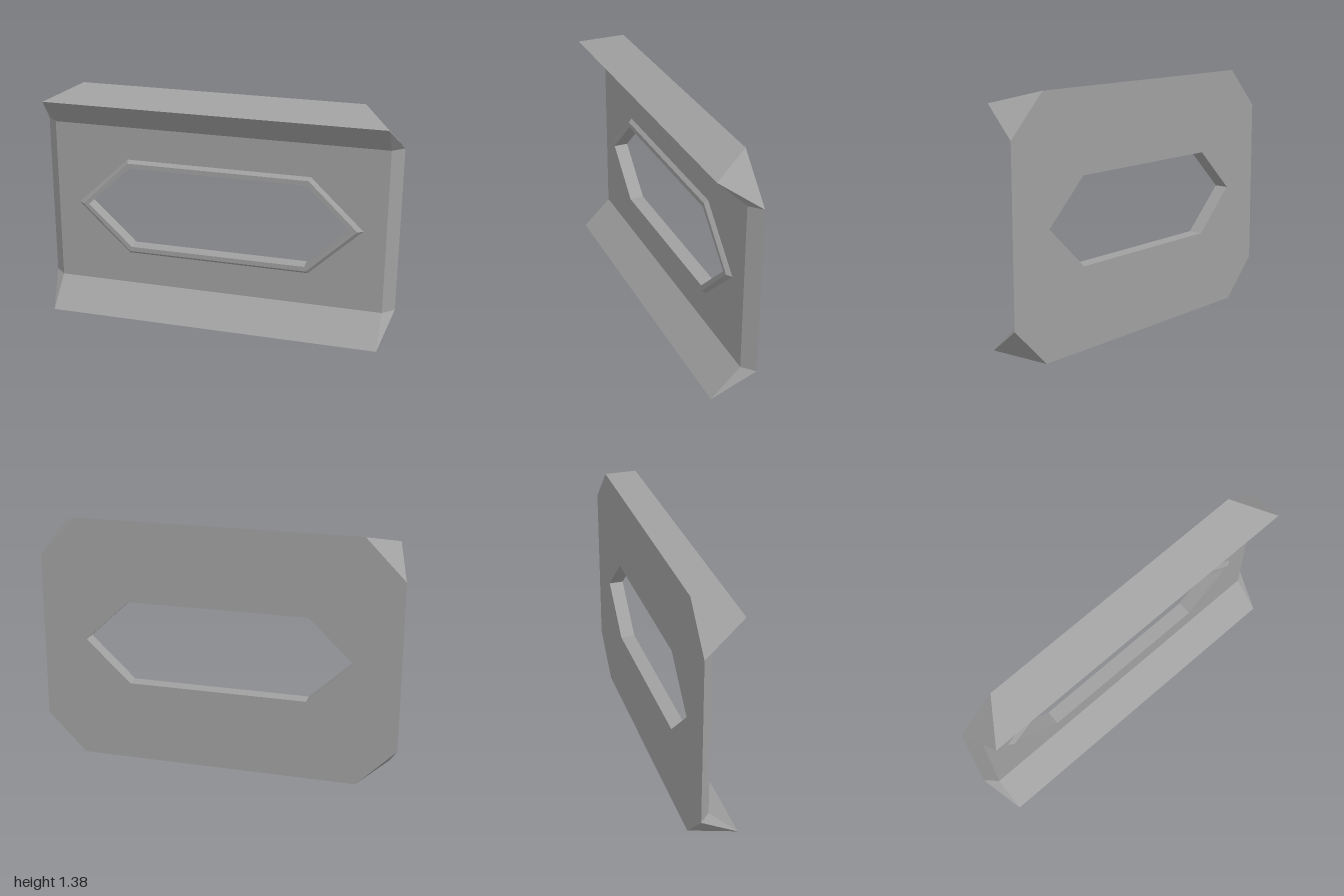
import * as THREE from 'three';

const MID = 0.6875; // height of the horizontal mirror plane
const BACK = -0.11, FACE = -0.05, RIM = -0.03;

const material = new THREE.MeshStandardMaterial({
  color: 0xa0a0a0, flatShading: true, side: THREE.DoubleSide,
});

function addMesh(group, name, geometry) {
  const mesh = new THREE.Mesh(geometry, material);
  mesh.name = name;
  group.add(mesh);
}

// Builds flat polygons (corners counter-clockwise) as triangle fans
function polygons(faces) {
  const pos = [];
  for (const f of faces) {
    for (let i = 1; i < f.length - 1; i++) pos.push(...f[0], ...f[i], ...f[i + 1]);
  }
  const g = new THREE.BufferGeometry();
  g.setAttribute('position', new THREE.Float32BufferAttribute(pos, 3));
  g.computeVertexNormals();
  return g;
}

// Mirrors a polygon by signs in x and y, keeping it facing outward
function mirrored(face, sx, sy) {
  const f = face.map(([x, y, z]) => [x * sx, MID + y * sy, z]);
  return sx * sy < 0 ? f.reverse() : f;
}

// Long hexagon: tip at x, shoulders at (sx, sy)
const hexagon = (x, sx, sy) => [
  [x, 0], [sx, sy], [-sx, sy], [-x, 0], [-sx, -sy], [sx, -sy],
].map(([a, b]) => [a, b + MID]);

// Flat plate with a hexagonal opening
function plate(outline, hole) {
  const v = (p) => new THREE.Vector2(p[0], p[1]);
  const shape = new THREE.Shape(outline.map(v));
  shape.holes.push(new THREE.Path(hole.map(v)));
  return new THREE.ShapeGeometry(shape);
}

export function createModel() {
  const group = new THREE.Group();
  group.name = 'windowPanel';

  // Upper left corner points, y measured from the mirror plane
  const A = [1, 0.4675, BACK];       // back edge of the side
  const B = [0.937, 0.4675, FACE];   // corner of the front face
  const L = [0.937, 0.624, 0.11];    // tip of the flange lip
  const T = [0.783, 0.6875, BACK];   // back edge of the flange
  const flipX = ([x, y, z]) => [-x, y, z];
  const flipY = ([x, y, z]) => [x, -y, z];

  const opening = hexagon(0.75, 0.5, 0.237);
  const crest = hexagon(0.783, 0.51, 0.264);
  const base = hexagon(0.813, 0.518, 0.281);

  // Front and back plates
  const front = [B, flipX(B), flipX(flipY(B)), flipY(B)].map(([x, y]) => [x, y + MID]);
  addMesh(group, 'frontPlate', plate(front, base).translate(0, 0, FACE));
  const octagon = [A, T, flipX(T), flipX(A), flipX(flipY(A)), flipX(flipY(T)), flipY(T), flipY(A)]
    .map(([x, y]) => [x, y + MID]);
  addMesh(group, 'backPlate', plate(octagon, opening).rotateY(Math.PI).translate(0, 0, BACK));

  // Bevelled sides
  for (const sx of [1, -1]) {
    addMesh(group, sx > 0 ? 'leftSide' : 'rightSide',
      polygons([mirrored([flipY(A), A, B, flipY(B)], sx, 1)]));
  }

  // Projecting flanges along the top and bottom, closed at both ends
  for (const sy of [1, -1]) {
    const faces = [
      mirrored([flipX(B), B, L, flipX(L)], 1, sy),
      mirrored([flipX(L), L, T, flipX(T)], 1, sy),
    ];
    for (const sx of [1, -1]) {
      faces.push(mirrored([A, L, B], sx, sy), mirrored([A, T, L], sx, sy));
    }
    addMesh(group, sy > 0 ? 'topFlange' : 'bottomFlange', polygons(faces));
  }

  // Raised rim around the opening and the wall through the panel
  const rings = [[base, FACE], [crest, RIM], [opening, RIM], [opening, BACK]];
  const rim = [];
  for (let r = 0; r < rings.length - 1; r++) {
    const [p, zp] = rings[r], [q, zq] = rings[r + 1];
    for (let i = 0; i < 6; i++) {
      const j = (i + 1) % 6;
      rim.push([[...p[i], zp], [...p[j], zp], [...q[j], zq], [...q[i], zq]]);
    }
  }
  addMesh(group, 'windowRim', polygons(rim));

  return group;
}
